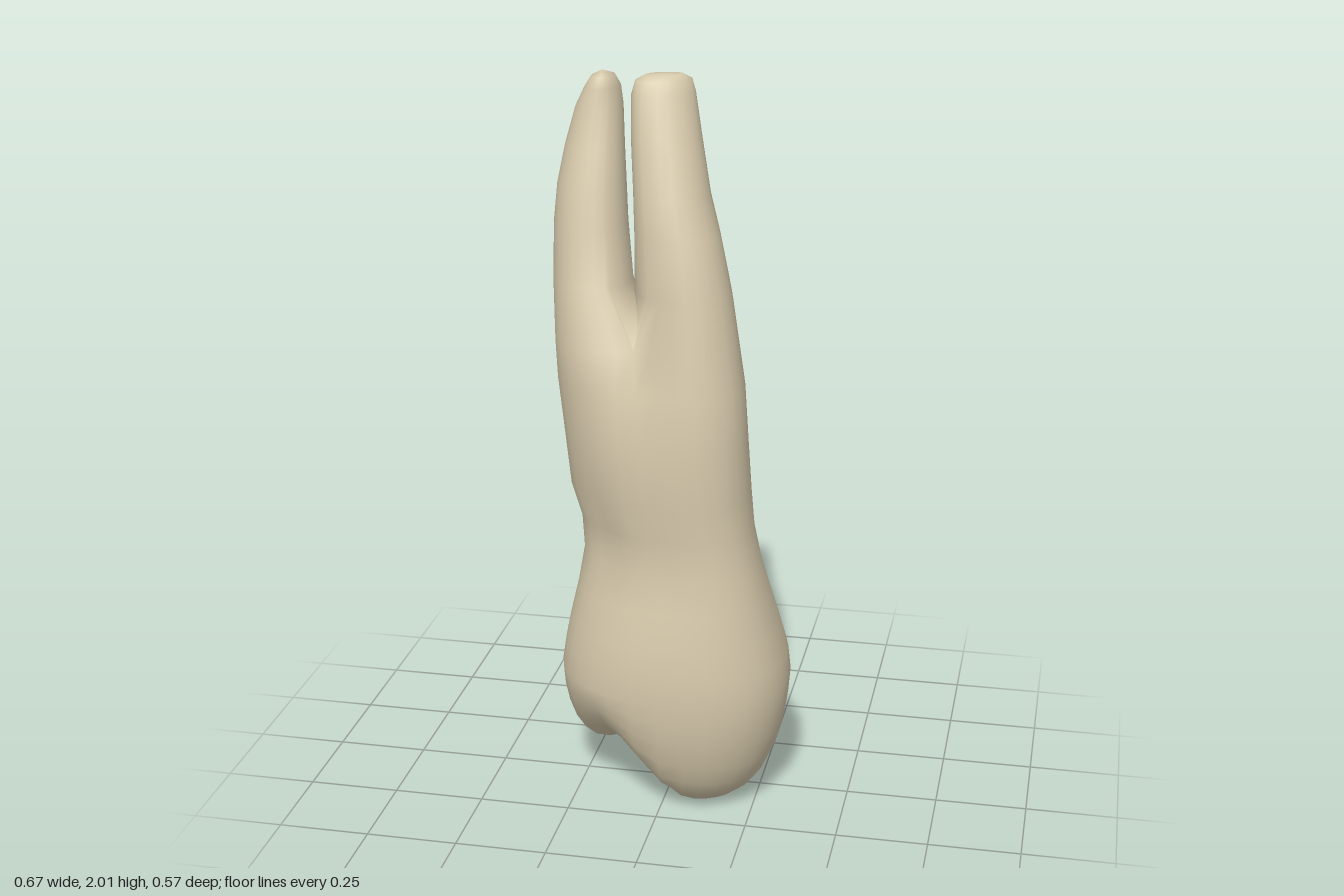
import * as THREE from 'three';

const N = 32; // points per ring
const H = N / 2;

// Angle of ring point k: the first half covers `span` either side of `mid`, the rest closes the ring
function angle(k, mid, span) {
  return k <= H
    ? mid - span + (2 * span * k) / H
    : mid + span + ((2 * Math.PI - 2 * span) * (k - H)) / H;
}

const full = (v, power) => Math.sign(v) * Math.abs(v) ** power;

// Skewed oval fitted to the extents x0..x1, z0..z1; a lower power makes it squarer
function oval(y, [x0, x1, z0, z1], skew, power, mid, span) {
  return Array.from({ length: N }, (_, k) => {
    const t = angle(k, mid, span);
    return [
      (x0 + x1) / 2 + ((x1 - x0) / 2) * full(Math.cos(t), power), y,
      (z0 + z1) / 2 + ((z1 - z0) / 2) * full(Math.sin(t + skew), power),
    ];
  });
}

// Chewing surface: a large and a small cusp with a groove between them
function cuspHeight(x, z) {
  const u = 0.86 * x + 0.51 * z + 0.04;
  const v = -0.51 * x + 0.86 * z;
  const t = THREE.MathUtils.smoothstep(Math.abs(u), 0, 0.2);
  return THREE.MathUtils.lerp(0.15, u > 0 ? -0.02 : 0.03, t) + 0.4 * v * v;
}

export function createModel() {
  const positions = [], indices = [];
  const add = (p) => positions.push(...p) / 3 - 1;
  const addRing = (ring) => ring.map(add);
  const bridge = (lo, hi) => {
    for (let k = 0; k < N; k++) {
      const n = (k + 1) % N;
      indices.push(lo[k], hi[k], lo[n], lo[n], hi[k], hi[n]);
    }
  };

  // Crown and trunk: y, extents, skew, depth of the front and back grooves, depth of the neck hollow
  const trunk = [
    [0.35, [-0.318, 0.333, -0.283, 0.285], 0.12, 0, 0],
    [0.42, [-0.307, 0.325, -0.279, 0.284], 0.12, 0, 0],
    [0.5, [-0.29, 0.305, -0.25, 0.275], 0.13, 0, 0.02],
    [0.6, [-0.265, 0.28, -0.203, 0.262], 0.15, 0.02, 0.08],
    [0.7, [-0.247, 0.255, -0.17, 0.247], 0.18, 0.05, 0.16],
    [0.8, [-0.255, 0.235, -0.17, 0.247], 0.2, 0.05, 0.17],
    [0.9, [-0.285, 0.226, -0.178, 0.253], 0.2, 0.04, 0.08],
    [1.05, [-0.3, 0.218, -0.167, 0.256], 0.22, 0.06, 0.04],
    [1.2, [-0.318, 0.207, -0.162, 0.243], 0.22, 0.15, 0.02],
    [1.3, [-0.325, 0.19, -0.162, 0.225], 0.22, 0.32, 0],
  ];
  const rings = trunk.map(([y, box, skew, pinch, hollow]) =>
    oval(y, box, skew, 0.88, 0, Math.PI / 2).map((p, k) => {
      const t = angle(k, 0, Math.PI / 2);
      const w = pinch * Math.abs(Math.sin(t)) ** 16
        + hollow * Math.exp(-(((t - 2.2) / 0.4) ** 2));
      return [p[0] + (-0.1 - p[0]) * w, y, p[2] + (0.02 - p[2]) * w];
    }));
  const ids = rings.map(addRing);
  for (let i = 1; i < ids.length; i++) bridge(ids[i - 1], ids[i]);

  // Rounded underside with cusps
  let upper = ids[0];
  const cx = 0.0075, cz = 0.001, rim = 0.35;
  for (const s of [0.985, 0.95, 0.89, 0.81, 0.71, 0.6, 0.49, 0.38, 0.26, 0.13]) {
    const ring = addRing(rings[0].map(([x, , z]) => {
      const px = cx + (x - cx) * s, pz = cz + (z - cz) * s;
      return [px, rim - (rim - cuspHeight(px, pz)) * (1 - s ** 4) ** 0.6, pz];
    }));
    bridge(ring, upper);
    upper = ring;
  }
  const bottom = add([cx, cuspHeight(cx, cz), cz]);
  for (let k = 0; k < N; k++) indices.push(bottom, upper[k], upper[(k + 1) % N]);

  // Saddle of the fork, running from the front groove (point H) to the back groove (point 0)
  const top = ids[ids.length - 1], topRing = rings[rings.length - 1];
  const front = topRing[H], back = topRing[0];
  const saddle = [];
  for (let m = 1; m < H; m++) {
    const t = m / H;
    saddle.push(add([
      THREE.MathUtils.lerp(front[0], back[0], t),
      1.3 + 0.03 * Math.sin(Math.PI * t),
      THREE.MathUtils.lerp(front[2], back[2], t),
    ]));
  }

  // Roots: each starts from half of the trunk's ring and the saddle
  const addRoot = (base, mid, rows, tip) => {
    let lower = base;
    for (const [y, box, skew] of rows) {
      const ring = addRing(oval(y, box, skew, 0.94, mid, 2.15));
      bridge(lower, ring);
      lower = ring;
    }
    const end = add(tip);
    for (let k = 0; k < N; k++) indices.push(lower[k], end, lower[(k + 1) % N]);
  };
  const arc = (from) => Array.from({ length: H + 1 }, (_, i) => top[(from + i) % N]);

  addRoot([...arc(0), ...saddle], 0, [
    [1.45, [-0.092, 0.167, -0.07, 0.194], 0.1],
    [1.6, [-0.095, 0.13, -0.077, 0.16], 0.05],
    [1.7, [-0.1, 0.1, -0.085, 0.134], 0],
    [1.85, [-0.11, 0.068, -0.092, 0.083], -0.15],
    [1.95, [-0.112, 0.048, -0.095, 0.045], -0.3],
    [1.985, [-0.103, 0.038, -0.085, 0.027], -0.35],
    [1.998, [-0.08, 0.018, -0.065, 0.008], -0.35],
  ], [-0.03, 2, -0.03]);

  addRoot([...arc(H), ...[...saddle].reverse()], Math.PI, [
    [1.45, [-0.333, -0.118, -0.162, 0.11], 0.1],
    [1.6, [-0.335, -0.135, -0.168, 0.07], 0.1],
    [1.7, [-0.328, -0.142, -0.172, 0.045], 0.1],
    [1.8, [-0.31, -0.15, -0.174, 0.01], 0.1],
    [1.9, [-0.282, -0.158, -0.174, -0.02], 0],
    [1.95, [-0.258, -0.165, -0.167, -0.03], 0],
    [1.98, [-0.238, -0.178, -0.14, -0.04], 0],
  ], [-0.208, 1.995, -0.08]);

  const geometry = new THREE.BufferGeometry();
  geometry.setAttribute('position', new THREE.Float32BufferAttribute(positions, 3));
  geometry.setIndex(indices);
  geometry.computeVertexNormals();

  const ivory = new THREE.MeshStandardMaterial({ color: 0xd6c9ab });
  ivory.name = 'ivory';
  const tooth = new THREE.Mesh(geometry, ivory);
  tooth.name = 'crownAndRoots';
  const group = new THREE.Group();
  group.name = 'tooth';
  group.add(tooth);
  return group;
}
